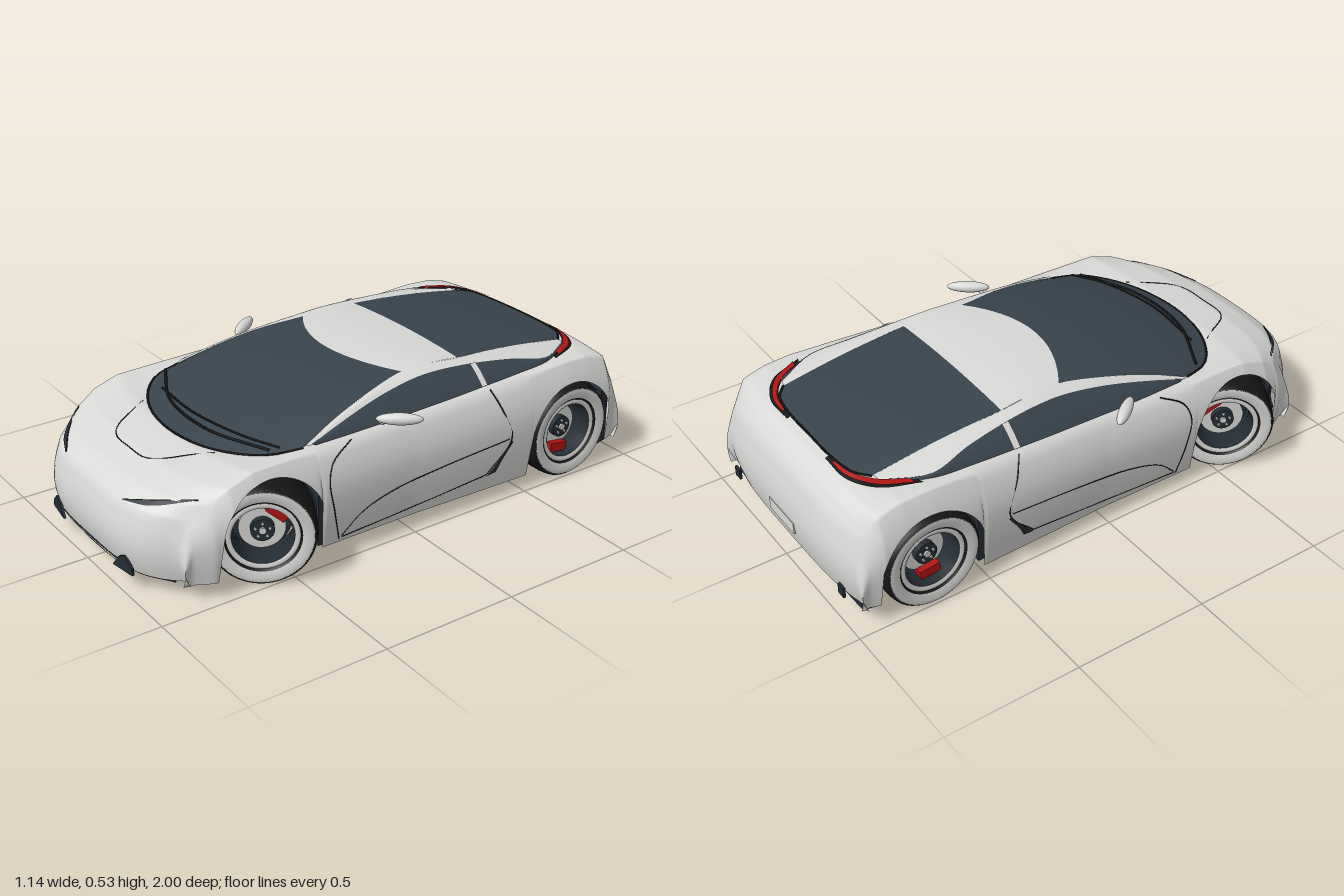
import * as THREE from 'three';

const V = (x, y, z) => new THREE.Vector3(x, y, z);
const mat = (name, color) => {
  const m = new THREE.MeshStandardMaterial({ color, side: THREE.DoubleSide });
  m.name = name;
  return m;
};
const paint = mat('silverPaint', 0xd8d8d6);
const glass = mat('tintedGlass', 0x38434c);
const under = mat('darkTrim', 0x252d34);
const black = mat('blackRubber', 0x161616);
const rimMat = mat('lightAlloy', 0xd2d2d0);
const red = mat('red', 0xb01414);

// Linear interpolation in a short table of [z, value]
function table(rows, z) {
  if (z <= rows[0][0]) return rows[0][1];
  for (let i = 1; i < rows.length; i++) {
    const [a, b] = [rows[i - 1], rows[i]];
    if (z <= b[0]) return a[1] + (b[1] - a[1]) * (z - a[0]) / (b[0] - a[0]);
  }
  return rows[rows.length - 1][1];
}
// Half width, shoulder height and centre-line height along the car
const width = z => table([[-.97, .485], [-.9, .505], [-.7, .512], [-.3, .503], [0, .495], [.4, .5], [.8, .5], [.9, .485], [.97, .45]], z);
const shoulder = z => table([[-.97, .34], [-.94, .385], [-.9, .42], [-.8, .443], [-.7, .447], [-.4, .435], [0, .42], [.4, .41], [.65, .405], [.8, .375], [.9, .335], [.97, .28]], z);
const centre = z => table([[-.97, .37], [-.94, .41], [-.9, .438], [-.85, .45], [-.7, .43], [-.3, .42], [0, .40], [.5, .37], [.67, .385], [.8, .37], [.9, .34], [.97, .30]], z);
const sweep = z => .12 * THREE.MathUtils.smoothstep(z, .5, .97) - .03 * THREE.MathUtils.smoothstep(-z, .85, .97);
const FRONT = .57, REAR = -.71, HUB = .18, ARCH = .192;

// Lower edge of the side, raised over the wheels
function lowerEdge(z) {
  let y = table([[-.9, .08], [-.5, .055], [.75, .06]], z);
  for (const c of [FRONT, REAR]) {
    const d = ARCH * ARCH - (z - c) ** 2;
    if (d > 0) y = HUB + Math.sqrt(d);
  }
  return y;
}
function sideX(z, y) {
  const q = (y - .06) / (shoulder(z) - .06);
  return width(z) * (q < .55 ? .96 + .04 * Math.sin(q / .55 * Math.PI / 2) : 1 - .1 * ((q - .55) / .45) ** 2);
}
// Point on the hood and deck surface
function deck(x, z, lift = 0) {
  const r = x / (.9 * width(z));
  return V(x, centre(z) + (shoulder(z) - centre(z)) * r * r + lift, z - sweep(z) * r ** 4);
}
// Cross-section: s = 0 centre line, 0.6 shoulder, 1 lower edge
function section(s, z) {
  const a = Math.abs(s), sg = Math.sign(s);
  if (a <= .6) return deck(s / .6 * .9 * width(z), z);
  const zs = z - sweep(z), yb = lowerEdge(zs);
  const y = yb + (shoulder(z) - yb) * (1 - a) / .4;
  return V(sg * sideX(z, y), y, zs);
}

export function createModel() {
  const car = new THREE.Group();
  car.name = 'car';
  const add = (parent, name, geo, m) => {
    const mesh = new THREE.Mesh(geo, m);
    mesh.name = name;
    parent.add(mesh);
    return mesh;
  };
  // Smooth surface from a function of two parameters
  function surface(name, fn, nu, nv, m, u0 = 0, u1 = 1) {
    const pos = [], idx = [];
    for (let j = 0; j <= nv; j++) for (let i = 0; i <= nu; i++) {
      const p = fn(u0 + (u1 - u0) * i / nu, j / nv);
      pos.push(p.x, p.y, p.z);
      if (i < nu && j < nv) {
        const a = j * (nu + 1) + i, b = a + nu + 1;
        idx.push(a, a + 1, b, a + 1, b + 1, b);
      }
    }
    const g = new THREE.BufferGeometry();
    g.setAttribute('position', new THREE.Float32BufferAttribute(pos, 3));
    g.setIndex(idx);
    g.computeVertexNormals();
    return add(car, name, g, m);
  }
  const curve = pts => new THREE.CatmullRomCurve3(pts);
  const ruled = (A, B, bulge = 0) => {
    const a = curve(A), b = curve(B);
    return (u, v) => {
      const p = a.getPoint(u).lerp(b.getPoint(u), v);
      p.y += bulge * Math.sin(Math.PI * v);
      return p;
    };
  };
  const flip = (fn, s) => (u, v) => { const p = fn(u, v); p.x *= s; return p; };
  const both = pts => [...pts.slice(1).reverse().map(p => V(-p.x, p.y, p.z)), ...pts];
  const line = (name, pts, r, m = black) => add(car, name, new THREE.TubeGeometry(curve(pts), 24, r, 5), m);

  // Body shell: sections along the length, continued down the nose and tail
  const N = 170, CAP = 10;
  surface('bodyShell', (u, v) => {
    const s = u * 2 - 1, k = Math.round(v * (N + 2 * CAP)) - CAP;
    const z = -.97 + 1.94 * THREE.MathUtils.clamp(k / N, 0, 1);
    const p = section(s, z);
    const t = (k < 0 ? -k : Math.max(0, k - N)) / CAP;
    if (t > 0) {
      p.y += ((z > 0 ? .065 : .08) - p.y) * t;
      p.z += Math.sign(z) * .03 * Math.sin(Math.PI * .9 * t);
    }
    return p;
  }, 50, N + 2 * CAP, paint);

  // Floor block with notches for the wheels
  const half = [[0, .94], [.28, .91], [.39, .84], [.45, .765], [.27, .765], [.27, .375], [.455, .375],
    [.455, -.515], [.27, -.515], [.27, -.905], [.45, -.905], [.44, -.95], [0, -.96]];
  const plan = new THREE.Shape([...half, ...half.slice(1, -1).reverse().map(([x, z]) => [-x, z])].map(([x, z]) => new THREE.Vector2(x, z)));
  const floor = new THREE.ExtrudeGeometry(plan, { depth: .215, bevelEnabled: false });
  floor.rotateX(Math.PI / 2).translate(0, .267, 0);
  add(car, 'underbody', floor, under);

  // Windscreen, roof and rear window
  const base = both([[0, .67], [.17, .645], [.3, .58], [.375, .5], [.405, .4]].map(([x, z]) => deck(x, z, .003)));
  const roofX = [0, .09, .18, .25, .3];
  const roofFront = both(roofX.map(x => V(x, .524 - .13 * x * x, .025 - 1.17 * x * x)));
  const roofBack = both(roofX.map(x => V(x * 1.03, .517 - .13 * x * x, -.32)));
  const tail = both([[0, -.87], [.1, -.87], [.18, -.865], [.25, -.85], [.3, -.81]].map(([x, z]) => deck(x, z, .006)));
  const screen = ruled(base, roofFront, .02);
  const roof = ruled(roofFront, roofBack, .006);
  const rear = ruled(roofBack, tail, .008);
  surface('windscreen', screen, 32, 12, glass);
  surface('roof', roof, 32, 8, paint);
  surface('rearWindow', rear, 32, 12, glass);

  // Roof pillars and side windows
  const inner = [screen(1, 0), screen(1, .33), screen(1, .66), screen(1, 1), roof(1, .5), roof(1, 1), rear(1, .3), rear(1, .6), rear(1, 1)];
  const outer = [V(.415, .412, .38), V(.39, .452, .22), V(.365, .483, .06), V(.35, .502, -.1), V(.352, .505, -.2),
    V(.36, .498, -.33), V(.38, .48, -.5), V(.405, .456, -.65), deck(.33, -.8, .005)];
  const belt = [[.418, .36], [.428, .2], [.432, .05], [.434, -.1], [.434, -.2], [.432, -.33], [.428, -.5], [.417, -.65], [.345, -.8]]
    .map(([x, z]) => deck(x, z, .003));
  const rail = ruled(inner, outer, .004), pane = ruled(outer, belt, .004);
  const lifted = (u, v) => pane(u, v).add(V(.004, .003, 0));

  // Flat wheel profile ring, turned around the axle
  const ring = pts => new THREE.LatheGeometry(pts.map(([r, x]) => new THREE.Vector2(r, x)), 48).rotateZ(-Math.PI / 2);
  const disc = (r, w, x) => new THREE.CylinderGeometry(r, r, w, 32).rotateZ(-Math.PI / 2).translate(x, 0, 0);
  function wheel(name, s, z, steer, cy, cz) {
    const g = new THREE.Group();
    g.name = name;
    g.position.set(s * .415, HUB, z);
    g.rotation.y = steer + (s < 0 ? Math.PI : 0);
    add(g, 'tread', ring([[.166, -.085], [.176, -.075], [.18, -.05], [.18, .05], [.176, .075], [.166, .085]]), black);
    for (const k of [1, -1]) {
      add(g, 'sidewall', ring([[.168, .084 * k], [.15, .088 * k], [.128, .08 * k]]), rimMat);
      add(g, 'rimGap', ring([[.128, .08 * k], [.121, .072 * k]]), black);
    }
    add(g, 'rimLip', ring([[.121, .074], [.112, .078], [.103, .072]]), rimMat);
    add(g, 'rimBarrel', ring([[.103, .072], [.1, 0], [.121, -.075]]), under);
    add(g, 'backPlate', disc(.1, .01, -.035), under);
    add(g, 'brakeDisc', disc(.078, .014, .005), rimMat);
    add(g, 'hub', disc(.04, .03, .02), under);
    add(g, 'hubCap', disc(.012, .008, .038), rimMat);
    for (let i = 0; i < 5; i++) {
      const a = i * Math.PI * .4;
      add(g, 'wheelNut', disc(.005, .006, .037).translate(0, .025 * Math.cos(a), .025 * Math.sin(a)), rimMat);
    }
    const c = add(g, 'brakeCaliper', new THREE.BoxGeometry(.045, .034, .075), red);
    c.position.set(.015, cy, s * cz);
    c.rotation.x = Math.atan2(s * cz, cy);
    car.add(g);
  }

  for (const s of [1, -1]) {
    const side = s > 0 ? 'left' : 'right';
    const onSide = pts => pts.map(([z, y]) => V(s * sideX(z, y), y, z));
    const onDeck = (pts, lift) => pts.map(([x, z]) => deck(s * x, z, lift));
    surface(side + 'RoofRail', flip(rail, s), 40, 6, paint);
    surface(side + 'SideWindow', flip(pane, s), 40, 5, glass);
    surface(side + 'DoorPillar', flip(lifted, s), 3, 5, paint, .625, .645);

    // Wheels and arch liners
    wheel(side + 'FrontWheel', s, FRONT, -.52, .062, -.05);
    wheel(side + 'RearWheel', s, REAR, 0, -.08, .01);
    for (const z of [FRONT, REAR]) {
      const liner = new THREE.CylinderGeometry(.19, .19, .19, 28, 1, true, 0, Math.PI).rotateZ(Math.PI / 2);
      add(car, side + 'ArchLiner', liner, under).position.set(s * .36, HUB, z);
    }

    // Door seams, sill crease and side intake
    line(side + 'DoorFrontSeam', onSide([[.24, .41], [.33, .36], [.355, .3], [.34, .2], [.31, .07]]), .0025);
    line(side + 'DoorRearSeam', onSide([[-.35, .43], [-.38, .36], [-.42, .24], [-.32, .12]]), .0025);
    line(side + 'SillCrease', onSide([[.3, .08], [.22, .15], [.1, .19], [-.1, .215], [-.41, .24]]), .002);
    line(side + 'LowerSeam', onSide([[.3, .075], [0, .09], [-.32, .12]]), .002);
    const intake = ruled(onSide([[-.32, .115], [-.37, .17], [-.42, .235]]), onSide([[-.36, .12], [-.38, .16], [-.425, .225]]));
    surface(side + 'SideIntake', (u, v) => intake(u, v).add(V(s * .003, 0, 0)), 8, 3, under);

    // Headlight slits
    surface(side + 'Headlight', ruled(onDeck([[.2, .966], [.3, .945], [.4, .895]], .004),
      onDeck([[.2, .962], [.3, .925], [.4, .888]], .004)), 14, 3, under);
    line(side + 'HeadlightEdge', onDeck([[.2, .962], [.3, .922], [.41, .882]], .002), .002);

    // Tail lights round the rear window
    surface(side + 'TailSurround', ruled(onDeck([[.13, -.873], [.25, -.853], [.33, -.8], [.39, -.7]], .006),
      onDeck([[.13, -.885], [.26, -.88], [.36, -.82], [.42, -.69]], .004)), 20, 3, black);
    surface(side + 'TailLight', ruled(onDeck([[.17, -.872], [.25, -.858], [.33, -.805], [.385, -.72]], .011),
      onDeck([[.17, -.881], [.255, -.873], [.35, -.817], [.41, -.715]], .009)), 20, 3, red);

    // Lower front intakes and rear vents
    const vent = new THREE.Shape([[-.055, 0], [.05, 0], [.05, .025], [.01, .06], [-.02, .045]].map(([x, y]) => new THREE.Vector2(s * x, y)));
    const plate = new THREE.ExtrudeGeometry(vent, { depth: .009, bevelEnabled: false });
    const front = add(car, side + 'FrontIntake', plate, under);
    front.position.set(s * .23, .064, .979);
    front.rotation.y = s * .14;
    add(car, side + 'RearVent', new THREE.BoxGeometry(.035, .04, .009), under).position.set(s * .37, .105, -.985);

    // Door mirrors
    const head = add(car, side + 'Mirror', new THREE.SphereGeometry(1, 24, 14), paint);
    head.scale.set(.08, .021, .022);
    head.position.set(s * .482, .446, .065);
    head.rotation.y = s * .915 + (s < 0 ? Math.PI : 0);
    line(side + 'MirrorArm', [V(s * .42, .42, .1), V(s * .445, .432, .1), V(s * .465, .442, .085)], .009, paint);
  }

  // Hood seam, splitter slot, rear recess seam and wipers
  line('hoodSeam', both([[0, .82], [.1, .815], [.15, .78], [.2, .7], [.24, .635]].map(([x, z]) => deck(x, z))), .002);
  line('frontSlot', [V(-.2, .085, .981), V(0, .085, .987), V(.2, .085, .981)], .003, under);
  line('splitter', [V(-.37, .057, .87), V(-.25, .057, .94), V(0, .057, .965), V(.25, .057, .94), V(.37, .057, .87)], .009, under);
  add(car, 'plateRecess', new THREE.BoxGeometry(.17, .045, .008), paint).position.set(0, .17, -.998);
  line('lowerWiper', [[.12, .05], [.4, .11], [.6, .1], [.85, .03]].map(([u, v]) => screen(u, v).add(V(0, .006, 0))), .005);
  line('upperWiper', [[.3, .09], [.5, .15], [.7, .13], [.88, .05]].map(([u, v]) => screen(u, v).add(V(0, .006, 0))), .004);
  line('screenSeal', base, .004);
  line('rearWindowSeal', tail, .004);
  return car;
}
